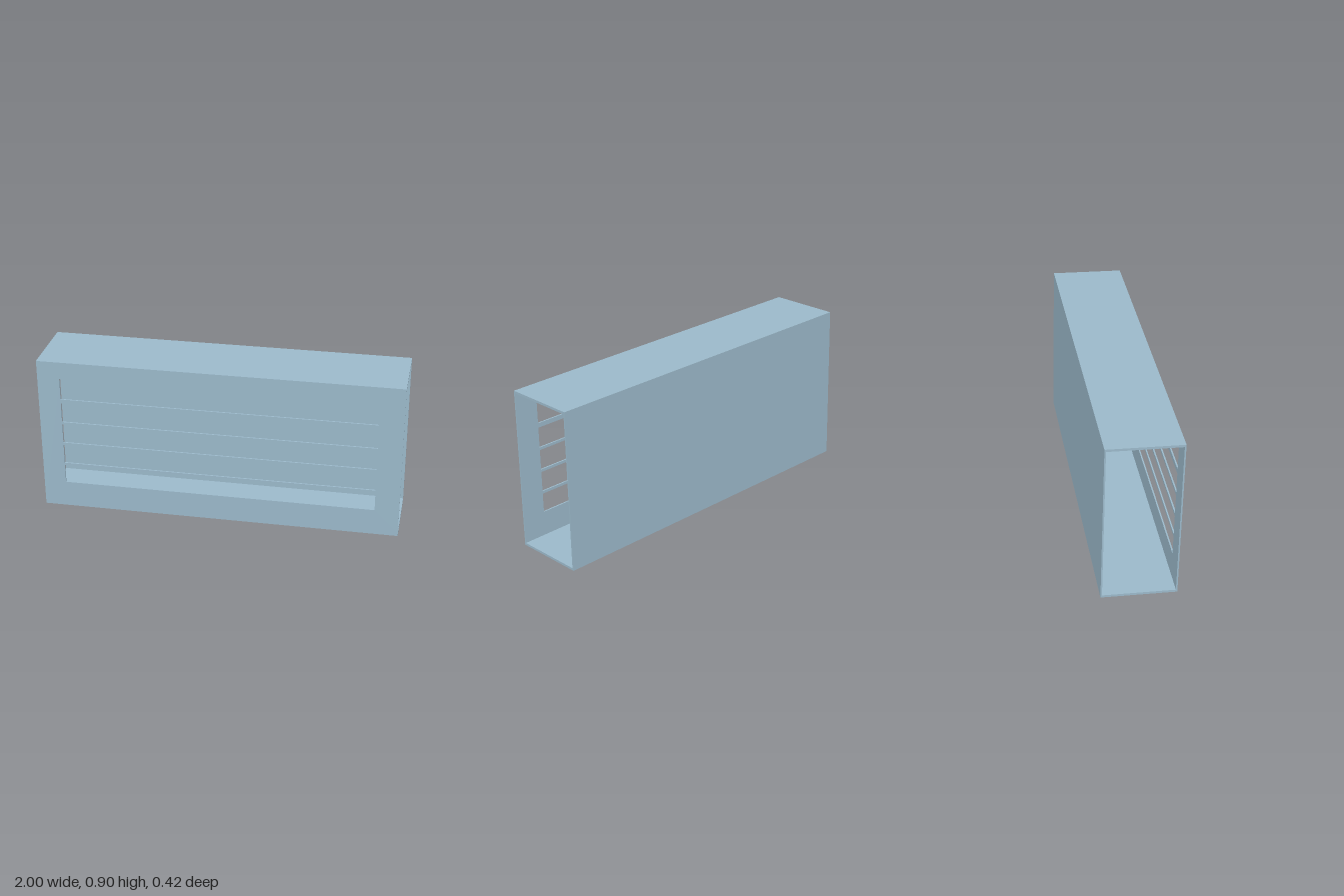
import * as THREE from 'three';

const LENGTH = 2, HEIGHT = 0.89, DEPTH = 0.4;
const CAP = 0.013, WALL = 0.008; // thickness of top/bottom and of front/back
const TILT = 0.026, CENTRE_Y = 0.45;

export function createModel() {
  const model = new THREE.Group();
  model.name = 'slottedSleeve';
  const steelBlue = new THREE.MeshStandardMaterial({ color: 0x9bb9ca });
  steelBlue.name = 'steelBlue';

  // The whole sleeve leans slightly forward
  const sleeve = new THREE.Group();
  sleeve.name = 'sleeve';
  sleeve.position.y = CENTRE_Y;
  sleeve.rotation.x = TILT;
  model.add(sleeve);

  const add = (name, geometry, y, z) => {
    const mesh = new THREE.Mesh(geometry, steelBlue);
    mesh.name = name;
    mesh.position.set(0, y, z);
    sleeve.add(mesh);
  };

  // Top, bottom and back plates; both ends stay open
  const capY = (HEIGHT - CAP) / 2;
  const innerHeight = HEIGHT - 2 * CAP;
  add('topPlate', new THREE.BoxGeometry(LENGTH, CAP, DEPTH), capY, 0);
  add('bottomPlate', new THREE.BoxGeometry(LENGTH, CAP, DEPTH), -capY, 0);
  add('backPlate', new THREE.BoxGeometry(LENGTH, innerHeight, WALL), 0, -(DEPTH - WALL) / 2);

  // Front plate with five long slots
  const rect = (path, x0, y0, x1, y1) =>
    path.moveTo(x0, y0).lineTo(x1, y0).lineTo(x1, y1).lineTo(x0, y1).closePath();
  const front = new THREE.Shape();
  rect(front, -LENGTH / 2, -innerHeight / 2, LENGTH / 2, innerHeight / 2);
  const slots = [[0.15, 0.258], [0.273, 0.386], [0.401, 0.514], [0.529, 0.643], [0.668, 0.792]];
  for (const [low, high] of slots) {
    const shift = (DEPTH / 2) * Math.sin(TILT) - CENTRE_Y;
    const hole = new THREE.Path();
    rect(hole, -0.875, low + shift, 0.867, high + shift);
    front.holes.push(hole);
  }
  add('frontPlate', new THREE.ExtrudeGeometry(front, { depth: WALL, bevelEnabled: false }),
    0, DEPTH / 2 - WALL);

  return model;
}
